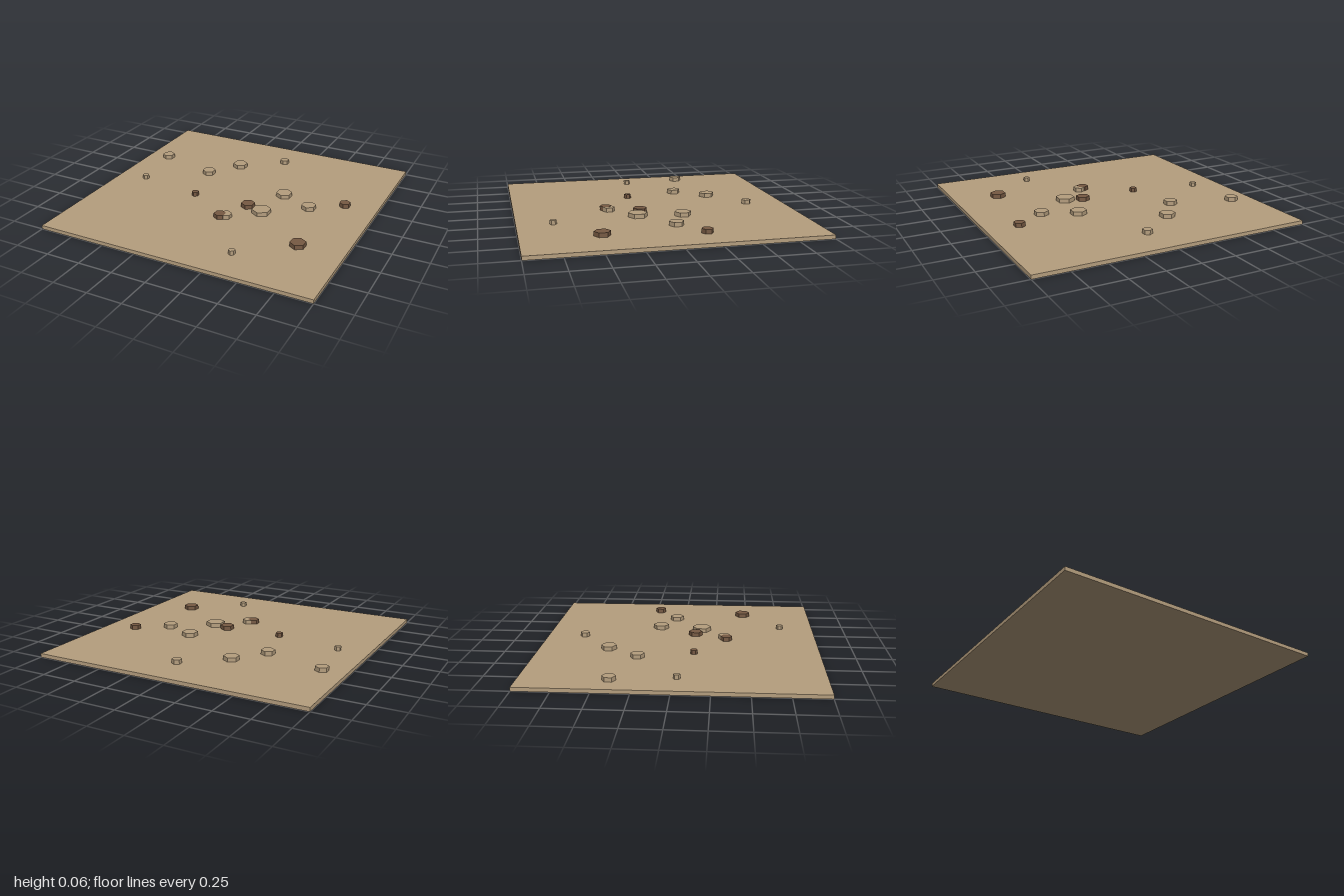
import * as THREE from 'three';

export function createModel() {
  const model = new THREE.Group();
  const sand = new THREE.MeshStandardMaterial({ color: 0xb59e7e });
  sand.name = 'sand';
  const brown = new THREE.MeshStandardMaterial({ color: 0x775a43 });
  brown.name = 'brown';

  const slabTop = 0.027;
  const stoneTop = 0.057;

  // Flat square ground slab
  const slab = new THREE.Mesh(new THREE.BoxGeometry(2, slabTop, 2), sand);
  slab.name = 'groundSlab';
  slab.position.y = slabTop / 2;
  model.add(slab);

  // Hexagonal stones: [x, z, radius]
  const sandStones = [
    [0.07, -0.722, 0.035], [-0.22, -0.497, 0.056], [-0.834, -0.404, 0.047],
    [-0.385, -0.273, 0.05], [0.307, -0.166, 0.059], [0.545, -0.059, 0.053],
    [-0.78, 0.027, 0.024], [0.267, 0.15, 0.07], [0.072, 0.323, 0.043],
    [0.337, 0.749, 0.024],
  ];
  const brownStones = [
    [0.765, -0.209, 0.04], [0.142, 0.108, 0.05], [-0.29, 0.115, 0.026],
    [0.035, 0.34, 0.043], [0.679, 0.468, 0.056],
  ];

  function addStones(name, list, material, top) {
    const group = new THREE.Group();
    group.name = name;
    const bottom = slabTop - 0.01; // sunk slightly into the slab
    for (const [x, z, r] of list) {
      const stone = new THREE.Mesh(new THREE.CylinderGeometry(r, r, top - bottom, 6), material);
      stone.geometry = stone.geometry.toNonIndexed();
      stone.geometry.computeVertexNormals(); // crisp facets
      stone.name = 'hexStone';
      stone.position.set(x, (top + bottom) / 2, z);
      group.add(stone);
    }
    model.add(group);
  }

  addStones('sandStones', sandStones, sand, stoneTop);
  // A hair taller so the overlapping pair does not flicker
  addStones('brownStones', brownStones, brown, stoneTop + 0.0008);

  return model;
}
